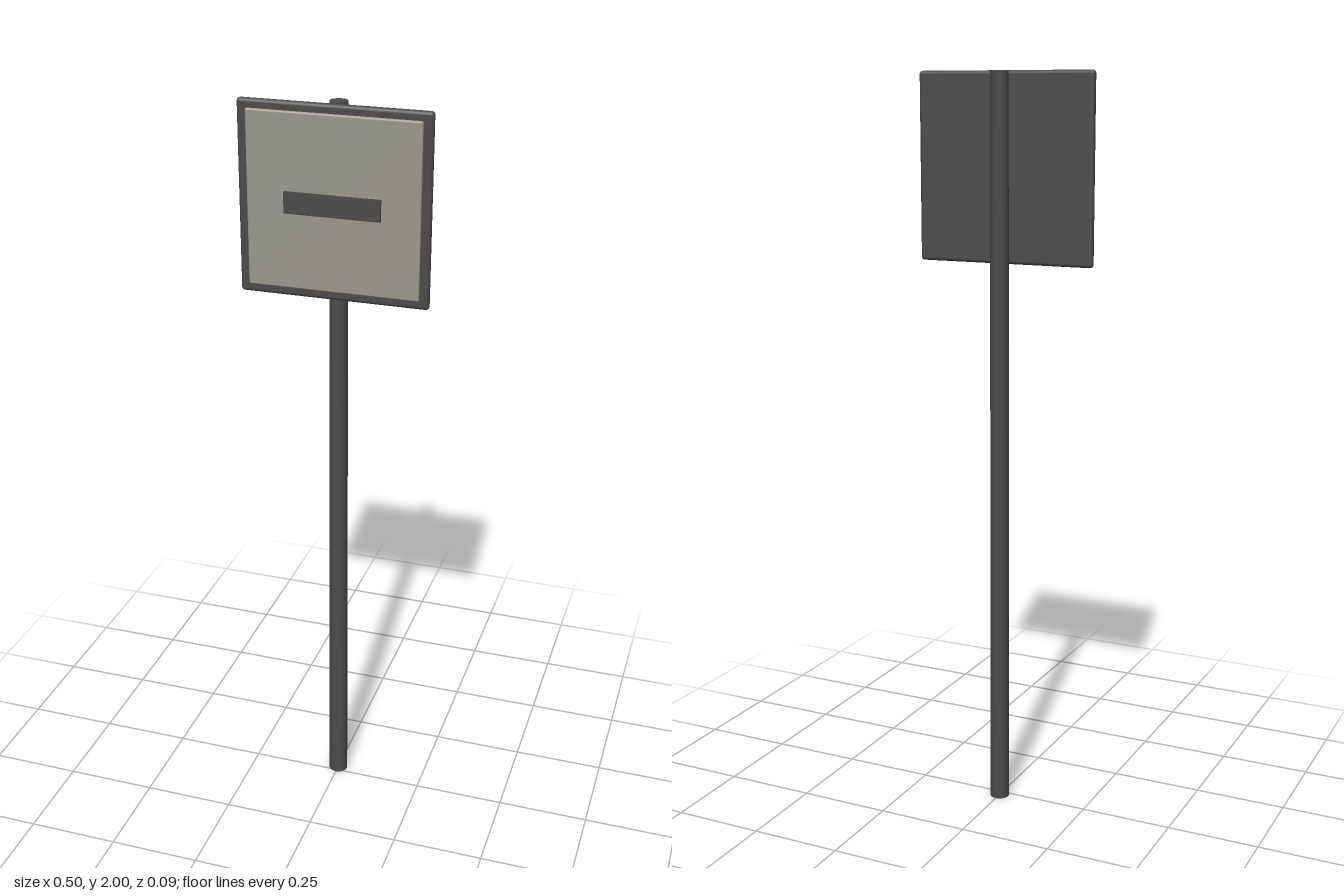
import * as THREE from 'three';
import { RoundedBoxGeometry } from 'three/addons/geometries/RoundedBoxGeometry.js';

export function createModel() {
  const model = new THREE.Group();
  model.name = 'signPost';

  const darkMetal = new THREE.MeshStandardMaterial({ color: 0x4d4a4a });
  darkMetal.name = 'dark metal';
  const paleGrey = new THREE.MeshStandardMaterial({ color: 0x9a988f });
  paleGrey.name = 'pale grey';

  const add = (name, geometry, material, y, z) => {
    const mesh = new THREE.Mesh(geometry, material);
    mesh.name = name;
    mesh.position.set(0, y, z);
    model.add(mesh);
  };

  // Slightly tapered pole behind the board
  add('pole', new THREE.CylinderGeometry(0.0235, 0.027, 2, 12), darkMetal, 1, -0.018);

  // Backing board with rounded rim
  add('board', new RoundedBoxGeometry(0.498, 0.495, 0.02, 3, 0.009), darkMetal, 1.7525, 0.019);

  // Pale face, standing slightly proud of the board
  add('facePanel', new RoundedBoxGeometry(0.45, 0.45, 0.012, 2, 0.005), paleGrey, 1.7525, 0.029);

  // Raised horizontal bar
  add('bar', new THREE.BoxGeometry(0.25, 0.055, 0.009), darkMetal, 1.7525, 0.0385);

  return model;
}
